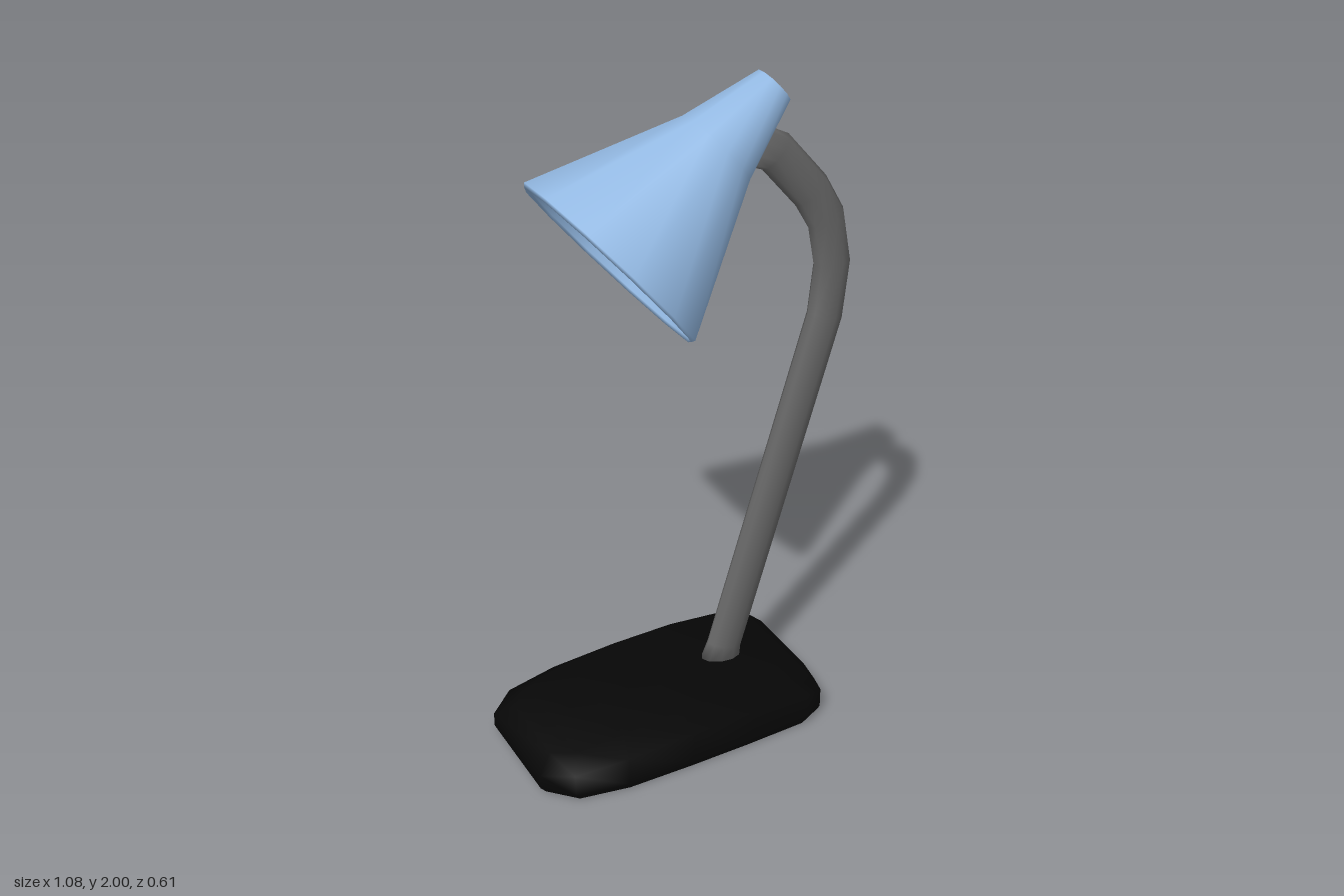
import * as THREE from 'three';

const mat = (name, color) => {
  const m = new THREE.MeshStandardMaterial({ color, side: THREE.DoubleSide });
  m.name = name;
  return m;
};

function part(name, geometry, material) {
  const mesh = new THREE.Mesh(geometry, material);
  mesh.name = name;
  return mesh;
}

function smoothGeometry(pos, index) {
  const g = new THREE.BufferGeometry();
  g.setAttribute('position', new THREE.Float32BufferAttribute(pos, 3));
  g.setIndex(index);
  g.computeVertexNormals();
  return g;
}

// Weighted base: domed shell with clipped corners, hollow underneath
function baseGeometry() {
  const stations = [ // x, back z, front z, shoulder height, crown x, crown height
    [-0.54, -0.19, 0.13, 0.07, -0.49, 0.106],
    [-0.465, -0.24, 0.21, 0.095, -0.43, 0.125],
    [-0.31, -0.253, 0.24, 0.115, -0.29, 0.152],
    [-0.1, -0.256, 0.245, 0.125, -0.1, 0.168],
    [0.1, -0.257, 0.245, 0.125, 0.05, 0.168],
    [0.3, -0.25, 0.24, 0.11, 0.27, 0.143],
    [0.362, -0.244, 0.212, 0.09, 0.345, 0.12],
    [0.392, -0.2, 0.13, 0.065, 0.378, 0.1],
  ];
  const n = 8, pos = [], index = [];
  const quad = (a, b, c, d) => index.push(a, b, c, a, c, d);
  stations.forEach(([x, zb, zf, sy, cx, cy], s) => {
    pos.push(
      x * 0.965, 0, zb * 0.95, x, 0.025, zb, x, sy, zb, cx, cy, zb * 0.8,
      cx, cy, zf * 0.72, x, sy, zf, x, 0.025, zf, x * 0.965, 0, zf * 0.95,
    );
    if (s === 0) return;
    for (let i = 0; i < n - 1; i++) {
      const a = (s - 1) * n + i, b = s * n + i;
      quad(a, a + 1, b + 1, b);
    }
  });
  // end walls
  const e = (stations.length - 1) * n;
  for (let i = 0; i < 3; i++) {
    quad(i, 7 - i, 6 - i, i + 1);
    quad(e + i, e + i + 1, e + 6 - i, e + 7 - i);
  }
  return smoothGeometry(pos, index);
}

// Bent arm: oval rings swept along a path in the x-y plane
function armGeometry(path, halfWidth, halfDepth, sides) {
  const pos = [], index = [];
  path.forEach(([x, y, flare = 1], i) => {
    const a = path[Math.max(i - 1, 0)], b = path[Math.min(i + 1, path.length - 1)];
    const t = new THREE.Vector2(b[0] - a[0], b[1] - a[1]).normalize();
    for (let j = 0; j < sides; j++) {
      const ang = (j / sides) * Math.PI * 2;
      const u = Math.cos(ang) * halfWidth * flare, w = Math.sin(ang) * halfDepth * flare;
      pos.push(x + t.y * u, y - t.x * u, -0.01 - w);
      if (i > 0) {
        const k = (j + 1) % sides, r = i * sides, q = r - sides;
        index.push(q + j, q + k, r + k, q + j, r + k, r + j);
      }
    }
  });
  // end caps
  const last = (path.length - 1) * sides;
  for (let j = 1; j < sides - 1; j++) {
    index.push(0, j + 1, j, last, last + j, last + j + 1);
  }
  return smoothGeometry(pos, index);
}

export function createModel() {
  const black = mat('baseBlack', 0x060606);
  const grey = mat('armGrey', 0x666666);
  const blue = mat('shadeBlue', 0x94bae4);

  const lamp = new THREE.Group();
  lamp.name = 'deskLamp';
  lamp.add(part('base', baseGeometry(), black));

  const path = [
    [0.137, 0.14, 1.15], [0.152, 0.2], [0.467, 1.24], [0.484, 1.4],
    [0.457, 1.54], [0.405, 1.63], [0.288, 1.765], [0.225, 1.795],
  ];
  lamp.add(part('arm', armGeometry(path, 0.059, 0.034, 10), grey));

  // Hollow twelve-sided shade: inner wall down to the rim, outer wall up to the tip
  const profile = [
    [0, 0.6], [0.045, 0.6], [0.11, 0.405], [0.29, 0.004],
    [0.298, -0.004], [0.305, 0.004], [0.123, 0.407], [0.058, 0.63], [0, 0.64],
  ].map(([r, y]) => new THREE.Vector2(r, y));
  const shade = part('shade', new THREE.LatheGeometry(profile, 12).rotateY(0.12), blue);
  shade.position.set(-0.217, 1.556, 0);
  shade.rotation.z = -0.889;
  lamp.add(shade);
  return lamp;
}
